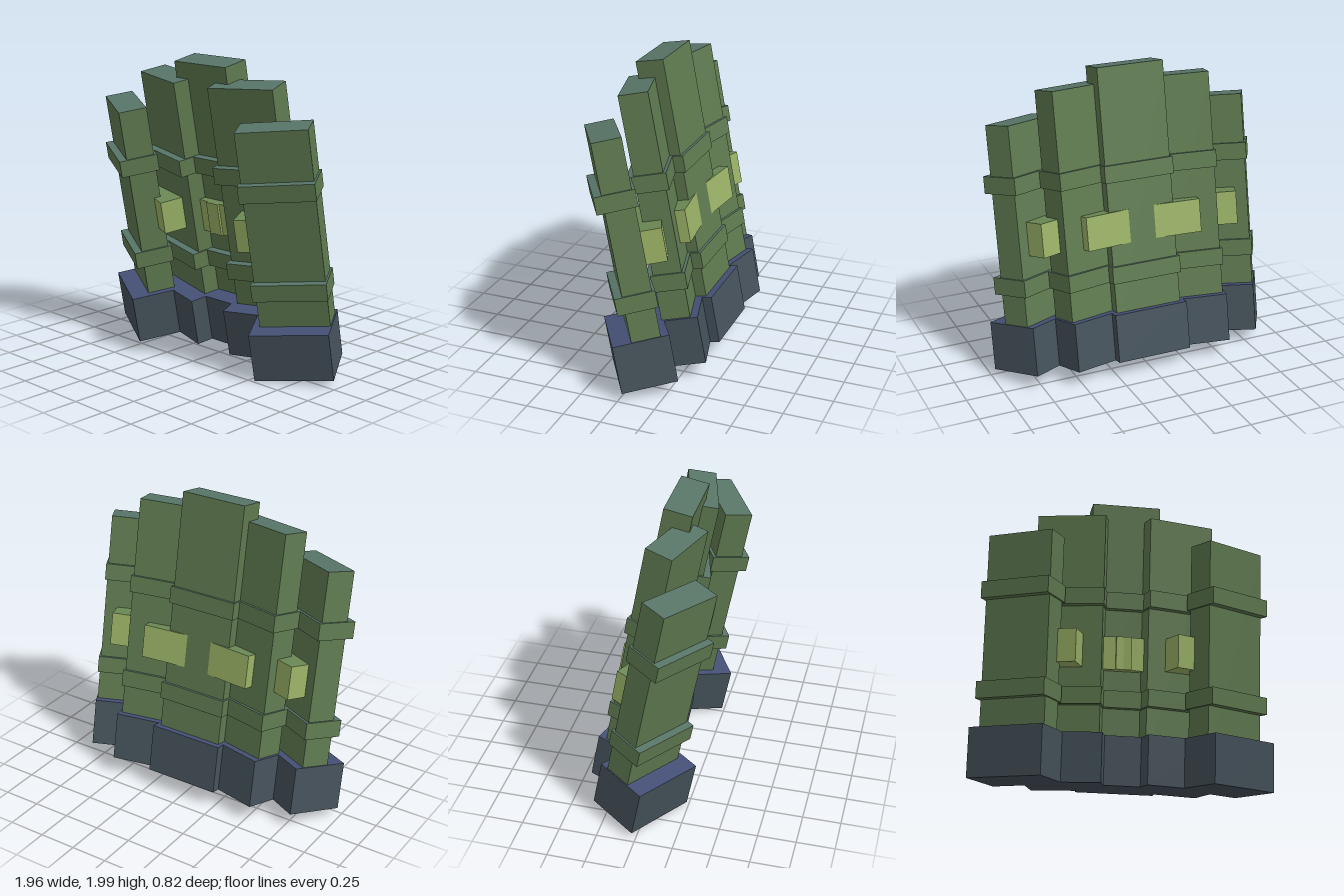
import * as THREE from 'three';

const mat = (name, color) => {
  const m = new THREE.MeshStandardMaterial({ color });
  m.name = name;
  return m;
};

export function createModel() {
  const green = mat('wall green', 0x5f7a50);
  const teal = mat('top teal', 0x587568);
  const slate = mat('base slate', 0x45525b);
  const blue = mat('base top blue', 0x455076);
  const lime = mat('light yellow green', 0x9ab266);
  const moss = mat('light top green', 0x6c8a56);

  const model = new THREE.Group();
  model.name = 'curvedWall';

  // The whole wall leans forward
  const wall = new THREE.Group();
  wall.name = 'leaningWall';
  wall.rotation.x = 0.187;
  wall.position.y = -0.006;
  model.add(wall);

  // Box standing on an arc at the given angle, from y0 to y1, with its own top colour
  const RADIUS = 1.31;
  function arcBox(name, angle, z, width, depth, y0, y1, side, top, push = 0) {
    const geo = new THREE.BoxGeometry(width, y1 - y0, depth);
    geo.translate(0, 0, push);
    const mesh = new THREE.Mesh(geo, [side, side, top, side, side, side]);
    mesh.name = name;
    mesh.position.set(
      RADIUS * Math.sin(angle),
      (y0 + y1) / 2,
      z + RADIUS * (1 - Math.cos(angle))
    );
    mesh.rotation.y = angle;
    wall.add(mesh);
  }

  const STEP = 0.267;
  const heights = [1.966, 1.856, 1.668];

  // Five segments: base block, upright panel and two raised bands
  for (let i = -2; i <= 2; i++) {
    const a = i * STEP;
    arcBox('baseBlock', a, -0.24, 0.51, 0.36, 0.05, 0.37, slate, blue);
    arcBox('wallPanel', a, -0.28, 0.455, 0.186, 0.2, heights[Math.abs(i)], green, teal);
    for (const y of [0.568, 1.23]) {
      arcBox('band', a, -0.28, 0.48, 0.256, y, y + 0.112, green, teal, 0.015);
    }
  }

  // Four light blocks set through the joints between the segments
  for (const k of [-1.5, -0.5, 0.5, 1.5]) {
    arcBox('lightBlock', k * STEP, -0.28, 0.485, 0.23, 0.82, 1.04, lime, moss);
  }

  return model;
}
